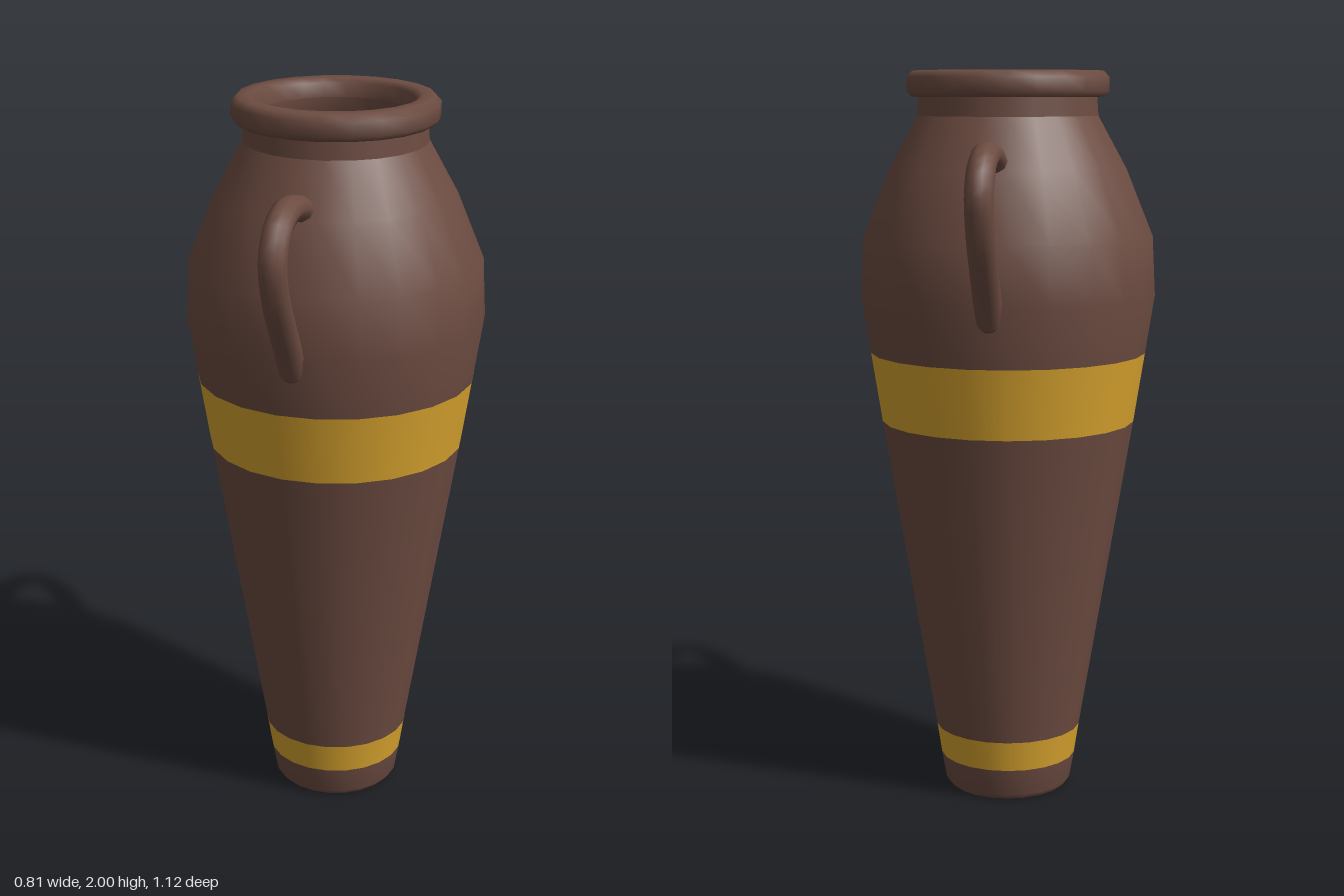
import * as THREE from 'three';

const SIDES = 22;

export function createModel() {
  const clay = new THREE.MeshStandardMaterial({ color: 0x6d4c41 });
  clay.name = 'brownClay';
  const gold = new THREE.MeshStandardMaterial({ color: 0xdaa52f });
  gold.name = 'goldPaint';

  const model = new THREE.Group();
  model.name = 'amphora';

  // Turned piece; the profile runs upward on the outside, downward on the inside
  function turned(name, profile, material) {
    const points = profile.map(([r, y]) => new THREE.Vector2(r, y));
    const mesh = new THREE.Mesh(new THREE.LatheGeometry(points, SIDES, Math.PI / 2), material);
    mesh.name = name;
    model.add(mesh);
  }

  // Outside of the body, split at the painted bands
  turned('base', [[0, 0], [0.165, 0]], clay);
  turned('foot', [[0.165, 0], [0.177, 0.015], [0.19, 0.09]], clay);
  turned('lowerBand', [[0.19, 0.09], [0.203, 0.175]], gold);
  turned('lowerBody', [[0.203, 0.175], [0.348, 1.05]], clay);
  turned('upperBand', [[0.348, 1.05], [0.378, 1.24]], gold);
  turned('shoulder', [
    [0.378, 1.24], [0.403, 1.4], [0.395, 1.56], [0.322, 1.74], [0.245, 1.88],
  ], clay);
  turned('neck', [[0.245, 1.88], [0.241, 1.94]], clay);

  // Rolled rim around the mouth
  turned('rim', [
    [0.238, 1.93], [0.26, 1.93], [0.274, 1.944], [0.274, 1.982],
    [0.258, 1.999], [0.225, 2], [0.208, 1.988], [0.205, 1.95],
  ], clay);

  // Hollow interior down to the floor
  turned('interior', [
    [0.205, 1.95], [0.21, 1.88], [0.29, 1.73], [0.36, 1.55], [0.365, 1.4],
    [0.31, 1.05], [0.17, 0.2], [0.13, 0.09], [0, 0.08],
  ], clay);

  // Curved handles at front and back, in the plane x = 0
  const path = new THREE.CatmullRomCurve3([
    [1.76, 0.28], [1.783, 0.35], [1.788, 0.42], [1.758, 0.492], [1.69, 0.527],
    [1.6, 0.508], [1.51, 0.46], [1.43, 0.41], [1.365, 0.372],
  ].map(([y, z]) => new THREE.Vector3(0, y, z)));
  const handleGeometry = new THREE.TubeGeometry(path, 24, 0.034, 10, false);
  handleGeometry.scale(1.1, 1, 1);
  for (const [name, turn] of [['frontHandle', 0], ['backHandle', Math.PI]]) {
    const handle = new THREE.Group();
    handle.name = name;
    const grip = new THREE.Mesh(handleGeometry, clay);
    grip.name = 'grip';
    handle.add(grip);
    // Rounded ends where the handle is pressed onto the body
    for (const t of [0, 1]) {
      const end = new THREE.Mesh(new THREE.SphereGeometry(0.034, 10, 8), clay);
      end.name = 'handleEnd';
      end.position.copy(path.getPoint(t));
      end.scale.x = 1.1;
      handle.add(end);
    }
    handle.rotation.y = turn;
    handle.position.x = -0.008;
    model.add(handle);
  }

  return model;
}
